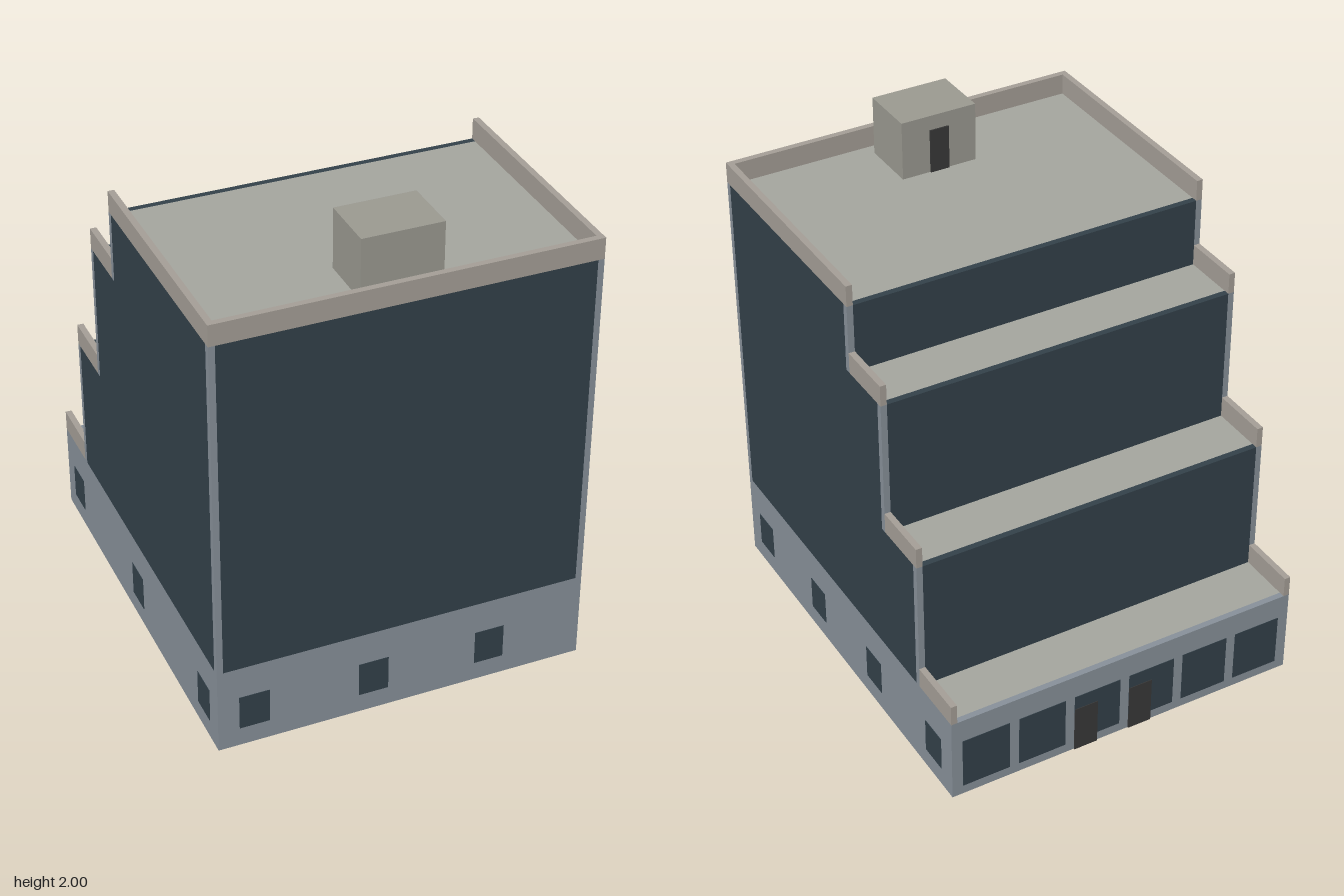
import * as THREE from 'three';

const W = 0.745, D = 0.862, T = 0.025; // half width, half depth, wall thickness
const BASE = 0.36, RAIL = 0.085;       // ground floor height, parapet height

const mat = (color) => new THREE.MeshStandardMaterial({ color, roughness: 0.9 });

export function createModel() {
  const model = new THREE.Group();
  const wall = mat(0x88919a), glass = mat(0x33414a), trim = mat(0xa59f97);
  const roof = mat(0xa5a69f), hut = mat(0x9b9a91), door = mat(0x383838);

  // Box given by its limits on each axis
  const box = (name, material, [x0, x1], [y0, y1], [z0, z1]) => {
    const mesh = new THREE.Mesh(new THREE.BoxGeometry(x1 - x0, y1 - y0, z1 - z0), material);
    mesh.position.set((x0 + x1) / 2, (y0 + y1) / 2, (z0 + z1) / 2);
    mesh.name = name;
    model.add(mesh);
  };
  // The same box on both sides of the building
  const sides = (name, material, y, z) => {
    box(name + 'Left', material, [W - T, W], y, z);
    box(name + 'Right', material, [-W, -W + T], y, z);
  };
  const inner = [-W + T, W - T];

  // Ground floor walls, open underneath
  sides('groundWall', wall, [0, BASE], [-D, D]);
  box('groundWallFront', wall, inner, [0, BASE], [D - T, D]);
  box('groundWallBack', wall, inner, [0, BASE], [-D, -D + T]);
  box('terraceFloor', roof, inner, [BASE - 0.02, BASE], [-D + T, D - T]);
  sides('terraceParapet', trim, [BASE, BASE + RAIL], [-D, -0.62]);

  // Glazed tiers stepping in towards the front: floor, roof, back edge, next back edge
  const tiers = [
    [BASE, 0.92, -0.62, -0.38],
    [0.92, 1.48, -0.38, -0.14],
    [1.48, 1.76, -0.14, D],
  ];
  for (const [y0, y1, back, next] of tiers) {
    const y = [y0, y1];
    sides('sideGlass', glass, y, [back + T, D - T]);
    sides('backPillar', wall, y, [back, back + T]);
    sides('frontPillar', wall, y, [D - T, D]);
    box('frontGlass', glass, inner, y, [D - T, D]);
    box('backGlass', glass, inner, y, [back, back + T]);
    box('tierRoof', roof, inner, [y1 - 0.02, y1], [back + T, D - T]);
    sides('tierParapet', trim, [y1, y1 + RAIL], [back, next]);
  }
  box('frontParapet', trim, inner, [1.76, 1.76 + RAIL], [D - T, D]);

  // Small ground floor windows, slightly proud of the wall on both faces
  const e = 0.002, sill = [0.08, 0.225];
  for (const x of [-0.6, -0.12, 0.36])
    box('frontWindow', glass, [x - 0.06, x + 0.06], sill, [D - T - e, D + e]);
  for (const z of [-0.72, -0.24, 0.24, 0.72])
    box('leftWindow', glass, [W - T - e, W + e], sill, [z - 0.06, z + 0.06]);
  for (const z of [-0.72, 0, 0.72])
    box('rightWindow', glass, [-W - e, -W + T + e], sill, [z - 0.06, z + 0.06]);

  // Row of wide windows and two entrance doors at the back
  for (let i = 0; i < 6; i++) {
    const x = -0.6 + i * 0.24;
    box('shopWindow', glass, [x - 0.1, x + 0.1], [0.04, 0.26], [-D - e, -D + T + e]);
  }
  for (const x of [-0.07, 0.17])
    box('entranceDoor', door, [x - 0.05, x + 0.05], [0, 0.2], [-D - 0.005, -D + T]);

  // Stair hut on the roof with its door
  box('roofHut', hut, [-0.158, 0.158], [1.76, 2], [0.547, 0.784]);
  box('roofHutDoor', door, [-0.04, 0.04], [1.76, 1.94], [0.541, 0.56]);

  return model;
}
